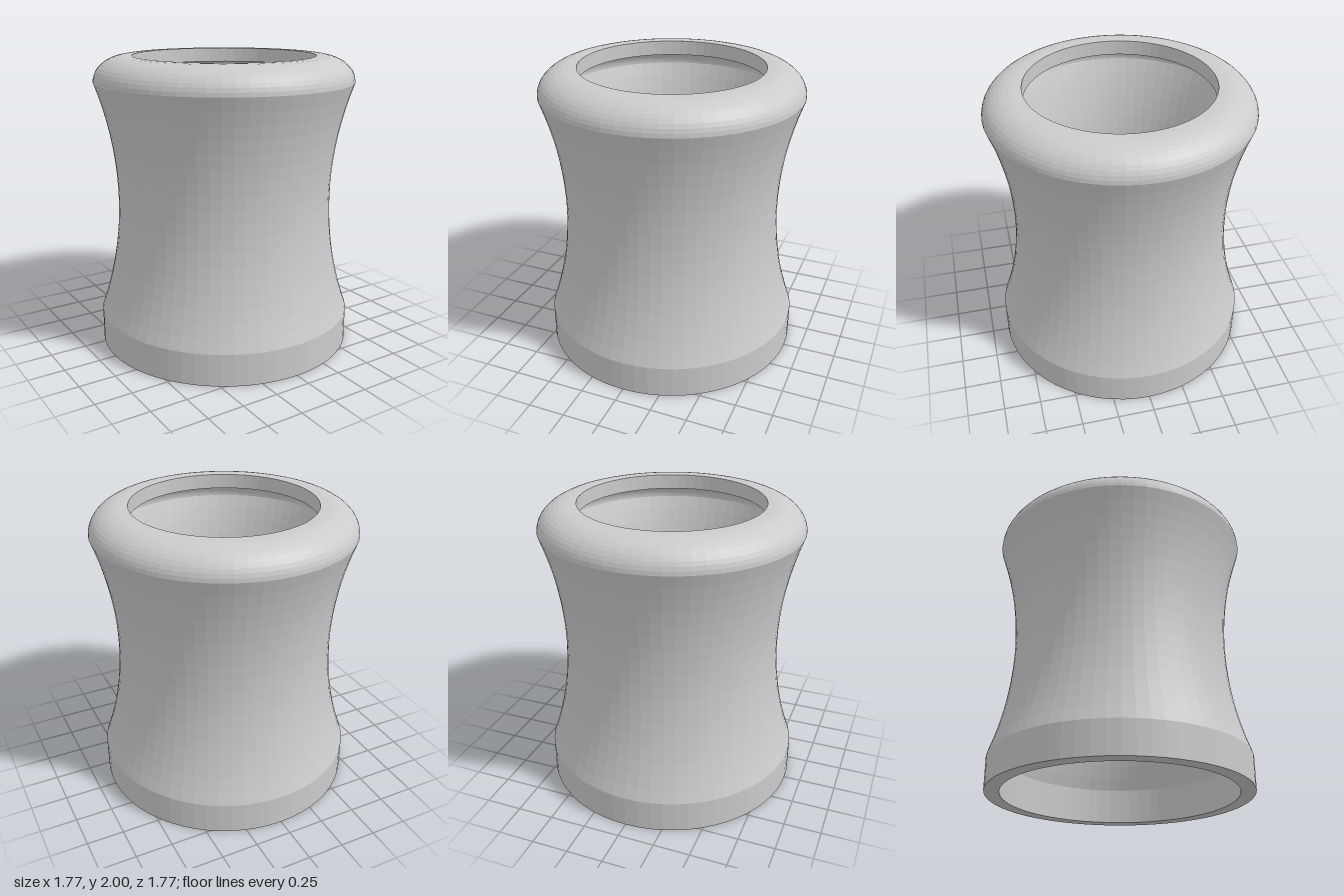
import * as THREE from 'three';

const WALL = 0.1, SIDES = 64;
const Y0 = 0.22, Y1 = 1.83;           // ends of the waisted section
const MID = (Y0 + Y1) / 2;
const R_END = 0.884, R_WAIST = 0.742;
const SAG = R_END - R_WAIST;
const ARC = (((Y1 - Y0) / 2) ** 2 + SAG ** 2) / (2 * SAG);

// Radius of the concave side at height y, for a wall set in by "inset"
const waist = (y, inset) => {
  const r = ARC + inset;
  return R_WAIST - inset + r - Math.sqrt(r * r - (y - MID) ** 2);
};

// One skin of the wall, from the foot up to the mouth
function skin(inset, yBottom, yTop, rFlat) {
  const pts = [new THREE.Vector2(R_END - inset, 0)];
  const rows = 18, arcRows = 10;
  for (let i = 0; i <= rows; i++) {
    const y = yBottom + (yTop - yBottom) * i / rows;
    pts.push(new THREE.Vector2(waist(y, inset), y));
  }
  // rounded shoulder
  const rEdge = waist(yTop, inset), height = 2 - inset - yTop;
  for (let i = 1; i <= arcRows; i++) {
    const a = (i / arcRows) * Math.PI / 2;
    pts.push(new THREE.Vector2(rFlat + (rEdge - rFlat) * Math.cos(a), yTop + height * Math.sin(a)));
  }
  pts.push(new THREE.Vector2(0.62, 2 - inset));
  return pts;
}

export function createModel() {
  const group = new THREE.Group();
  group.name = 'waistedSleeve';

  // closed section: up the outside, over the lip, down the inside, across the foot
  const outer = skin(0, Y0, Y1, 0.67);
  const inner = skin(WALL, Y0 + 0.02, Y1 - 0.03, 0.66).reverse();
  const profile = [...outer, ...inner, outer[0].clone()];

  const body = new THREE.Mesh(
    new THREE.LatheGeometry(profile, SIDES),
    new THREE.MeshStandardMaterial({ color: 0xcccccc, flatShading: true })
  );
  body.name = 'sleeveBody';
  group.add(body);
  return group;
}
